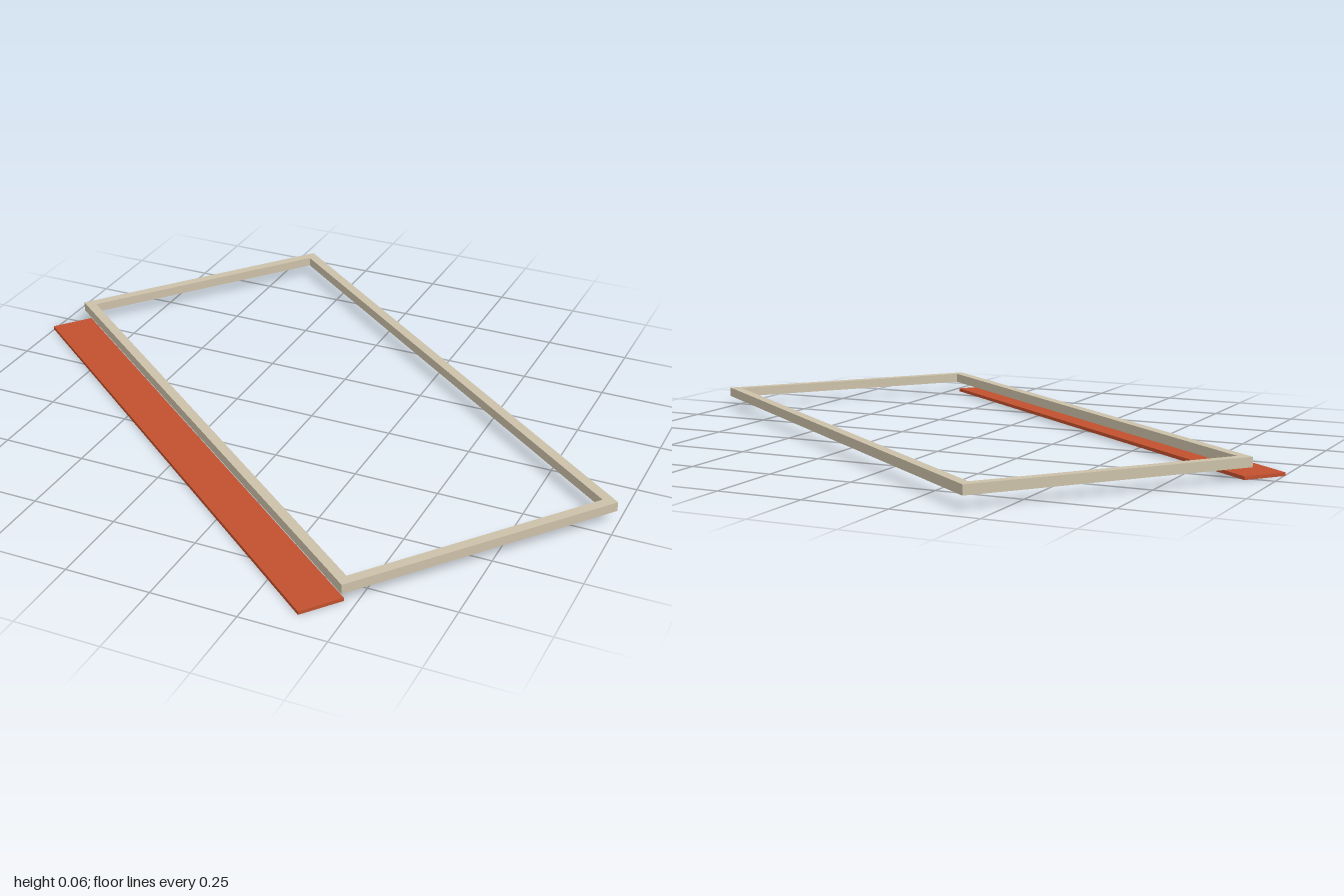
import * as THREE from 'three';

export function createModel() {
  const model = new THREE.Group();
  model.name = 'frameAndPanel';

  const beige = new THREE.MeshStandardMaterial({ color: 0xcbc0a8 });
  beige.name = 'beige';
  const rust = new THREE.MeshStandardMaterial({ color: 0xc1502e });
  rust.name = 'rust';

  // Everything lies in one assembly turned on the ground plane
  const assembly = new THREE.Group();
  assembly.name = 'turnedAssembly';
  assembly.rotation.y = -THREE.MathUtils.degToRad(38.3);
  model.add(assembly);

  const rectangle = (Type, w, h) => {
    const r = new Type();
    r.moveTo(-w / 2, -h / 2);
    r.lineTo(w / 2, -h / 2);
    r.lineTo(w / 2, h / 2);
    r.lineTo(-w / 2, h / 2);
    r.closePath();
    return r;
  };

  // Raised rectangular frame, open in the middle
  const length = 1.8, width = 0.846, bar = 0.03, thickness = 0.028;
  const outline = rectangle(THREE.Shape, length, width);
  outline.holes.push(rectangle(THREE.Path, length - 2 * bar, width - 2 * bar));
  const frameGeometry = new THREE.ExtrudeGeometry(outline, { depth: thickness, bevelEnabled: false });
  frameGeometry.rotateX(-Math.PI / 2);
  const frame = new THREE.Mesh(frameGeometry, beige);
  frame.name = 'raisedFrame';
  frame.position.set(-0.006, 0.036, -0.049);
  assembly.add(frame);

  // Thin panel on the ground, tucked under the middle of the front bar
  const panelWidth = 0.131;
  const panel = new THREE.Mesh(new THREE.BoxGeometry(length - bar, 0.01, panelWidth), rust);
  panel.name = 'groundPanel';
  panel.position.set(-0.006, 0.005, -0.049 + width / 2 - bar / 2 + panelWidth / 2);
  assembly.add(panel);

  return model;
}
